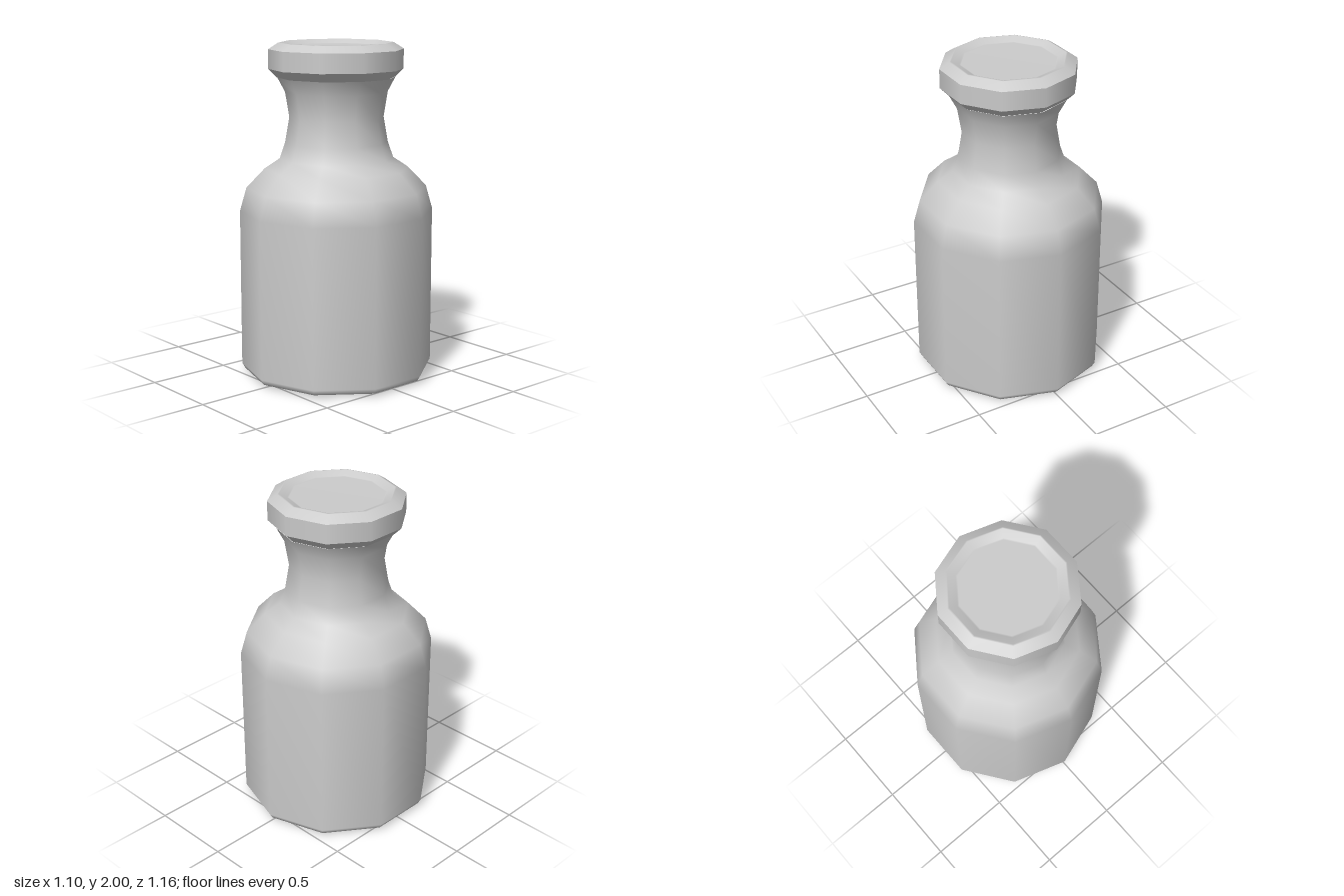
import * as THREE from 'three';

const SIDES = 10;
const material = new THREE.MeshStandardMaterial({ color: 0xcccccc });

// Ten-sided turned part from [radius, height] pairs, listed bottom to top on the outside
function turned(name, profile, z = 0) {
  const points = profile.map(([r, y]) => new THREE.Vector2(r, y));
  const mesh = new THREE.Mesh(new THREE.LatheGeometry(points, SIDES), material);
  mesh.name = name;
  mesh.position.z = z;
  return mesh;
}

export function createModel() {
  const bottle = new THREE.Group();
  bottle.name = 'bottle';

  bottle.add(
    // Flat base, rounded foot, straight wall, shoulder and waisted neck
    turned('bodyAndNeck', [
      [0, 0], [0.5, 0], [0.515, 0.002], [0.562, 0.018], [0.58, 0.05],
      [0.58, 1.0], [0.54, 1.14], [0.43, 1.255], [0.34, 1.315],
      [0.307, 1.41], [0.281, 1.56], [0.305, 1.71], [0.35, 1.795],
    ]),
    // Sloped underside of the lip
    turned('lipUnderside', [[0.35, 1.795], [0.4, 1.845]], 0.003),
    // Upright band of the lip
    turned('lipBand', [[0.4, 1.845], [0.4, 1.96]], 0.003),
    // Bevelled top edge dipping to a shallow recessed cap
    turned('lipTop', [
      [0.4, 1.96], [0.342, 1.998], [0.332, 2.0], [0.286, 1.976], [0.276, 1.975], [0, 1.975],
    ], 0.003),
  );
  return bottle;
}
